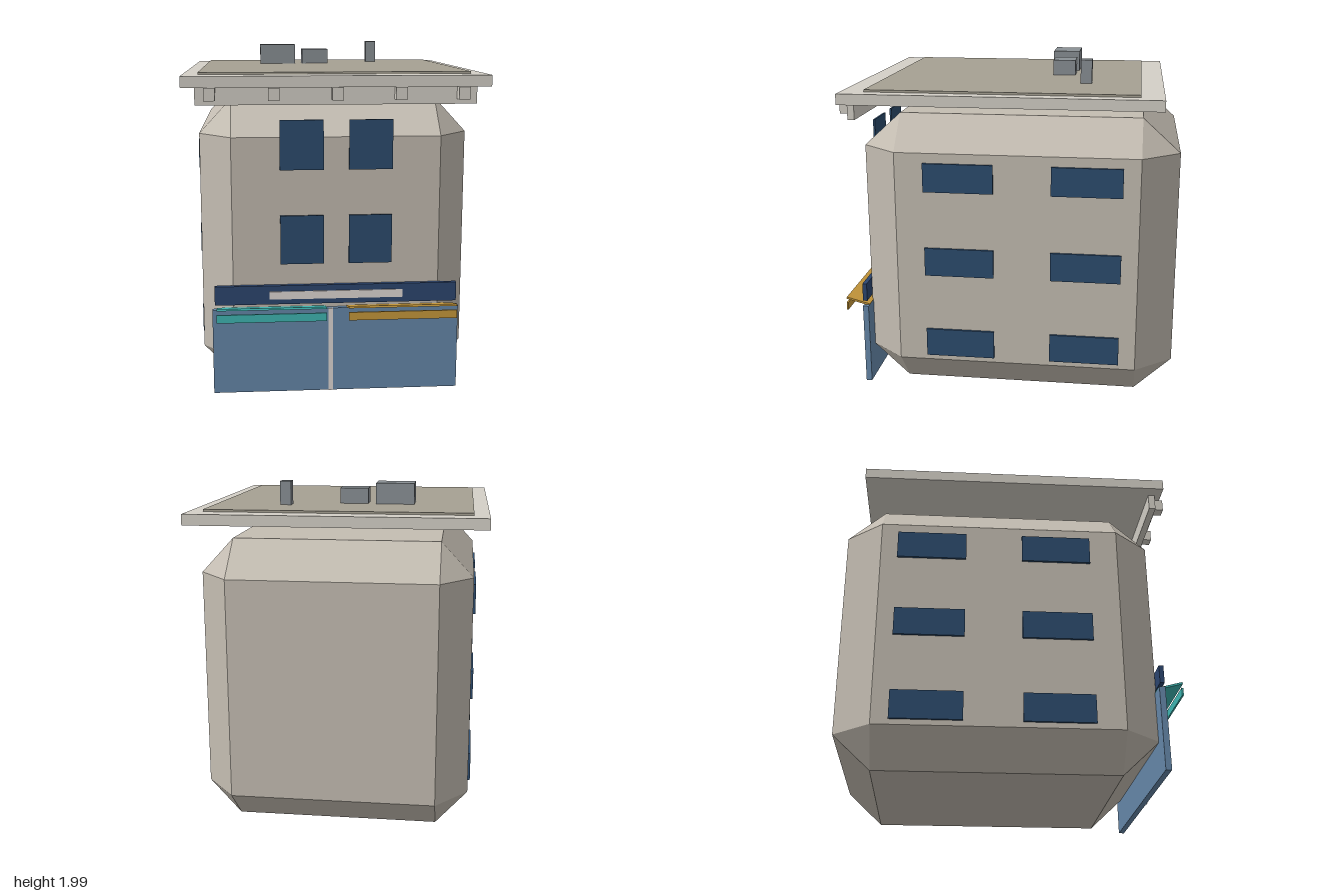
import * as THREE from 'three';
import { ConvexGeometry } from 'three/addons/geometries/ConvexGeometry.js';

const paint = (color) => new THREE.MeshStandardMaterial({ color });
const MAT = {
  wall: paint(0xc4bdb2), trim: paint(0xd4d0c7), roof: paint(0xa6a193),
  metal: paint(0x8a9095), window: paint(0x2c4c6e), shop: paint(0x6688aa),
  sign: paint(0x2c4670), panel: paint(0xe2dad6), teal: paint(0x40b8b4), amber: paint(0xc99a3c),
};

export function createModel() {
  const model = new THREE.Group();

  // Box given by its extents along each axis
  const box = (name, mat, [x0, x1], [y0, y1], [z0, z1], parent = model) => {
    const mesh = new THREE.Mesh(new THREE.BoxGeometry(x1 - x0, y1 - y0, z1 - z0), mat);
    mesh.position.set((x0 + x1) / 2, (y0 + y1) / 2, (z0 + z1) / 2);
    mesh.name = name;
    parent.add(mesh);
    return mesh;
  };

  // Building body: chamfered on every edge, octagonal walls between smaller top and bottom
  const W = 0.777, w = 0.592, D = 0.93, d = 0.71, zc = -0.07;
  const points = [];
  for (const sx of [-1, 1]) for (const sz of [-1, 1]) {
    for (const y of [0, 1.69]) points.push(new THREE.Vector3(sx * w, y, zc + sz * d));
    for (const y of [0.205, 1.49]) {
      points.push(new THREE.Vector3(sx * W, y, zc + sz * d));
      points.push(new THREE.Vector3(sx * w, y, zc + sz * D));
    }
  }
  const body = new THREE.Mesh(new ConvexGeometry(points), MAT.wall);
  body.name = 'body';
  model.add(body);

  // Roof slab, roof surface and front cornice with brackets
  box('roofSlab', MAT.trim, [-0.855, 0.855], [1.772, 1.835], [-0.895, 0.94]);
  box('roofSurface', MAT.roof, [-0.767, 0.767], [1.83, 1.848], [-0.762, 0.802]);
  box('cornice', MAT.trim, [-0.782, 0.782], [1.674, 1.772], [0.86, 0.9]);
  for (let i = -2; i <= 2; i++) {
    const x = i * 0.35;
    box('corniceBracket', MAT.trim, [x - 0.031, x + 0.031], [1.702, 1.772], [0.9, 0.96]);
  }

  // Rooftop equipment
  box('largeRoofUnit', MAT.metal, [-0.415, -0.185], [1.845, 1.972], [-0.362, -0.195]);
  box('smallRoofUnit', MAT.metal, [-0.138, 0.032], [1.845, 1.94], [-0.35, -0.212]);
  box('roofVent', MAT.metal, [0.31, 0.376], [1.845, 1.987], [-0.472, -0.405]);

  // Front windows: two floors of two
  for (const y of [0.766, 1.308]) for (const x of [-0.32, 0.07]) {
    box('frontWindow', MAT.window, [x, x + 0.246], [y, y + 0.281], [0.877, 0.889]);
  }

  // Side windows: three floors of two on both sides
  for (const s of [-1, 1]) for (const y of [0.237, 0.75, 1.262]) for (const z of [-0.682, 0.062]) {
    const xs = s > 0 ? [0.765, 0.791] : [-0.791, -0.765];
    box('sideWindow', MAT.window, xs, [y, y + 0.17], [z, z + 0.41]);
  }

  // Shopfront with centre post and sign board
  box('shopfront', MAT.shop, [-0.713, 0.71], [0, 0.5], [0.853, 0.888]);
  box('shopfrontPost', MAT.panel, [-0.046, -0.02], [0, 0.5], [0.87, 0.893]);
  box('signBoard', MAT.sign, [-0.698, 0.696], [0.53, 0.64], [0.863, 0.89]);
  box('signPanel', MAT.panel, [-0.385, 0.382], [0.56, 0.606], [0.885, 0.896]);

  // Awnings: tilted canopy with a hanging valance strip
  for (const [name, mat, x] of [['leftAwning', MAT.amber, 0.061], ['rightAwning', MAT.teal, -0.685]]) {
    const awning = new THREE.Group();
    awning.name = name;
    const xs = [x, x + 0.62];
    const canopy = box('canopy', mat, xs, [0.512, 0.524], [0.851, 1.001], awning);
    canopy.rotation.x = -0.26;
    box('valance', mat, xs, [0.46, 0.507], [0.99, 1], awning);
    model.add(awning);
  }
  return model;
}
